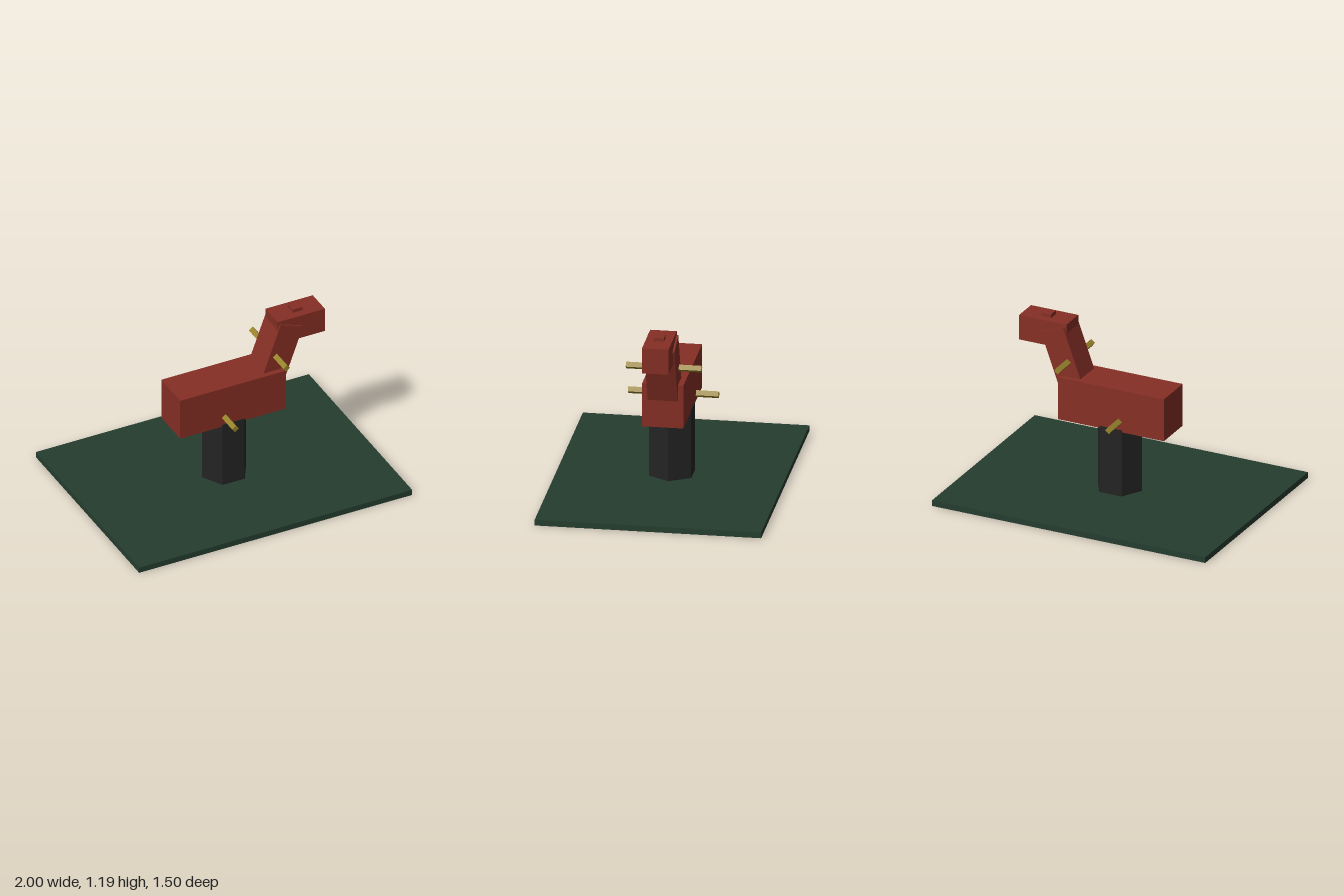
import * as THREE from 'three';

const material = (name, color) => {
  const m = new THREE.MeshStandardMaterial({ color, flatShading: true });
  m.name = name;
  return m;
};

export function createModel() {
  const model = new THREE.Group();
  const red = material('barn red', 0x852f25);
  const green = material('dark green', 0x253d2f);
  const black = material('charcoal', 0x242424);
  const gold = material('brass', 0x97822a);

  const add = (name, geometry, mat, x, y, z = 0) => {
    const mesh = new THREE.Mesh(geometry, mat);
    mesh.name = name;
    mesh.position.set(x, y, z);
    model.add(mesh);
    return mesh;
  };
  const box = (name, size, mat, x, y) => add(name, new THREE.BoxGeometry(...size), mat, x, y);

  // Ground plate and hexagonal post
  box('groundPlate', [2, 0.04, 1.5], green, 0, 0.02);
  const post = new THREE.CylinderGeometry(0.162, 0.162, 0.475, 6).rotateY(Math.PI / 6);
  add('post', post, black, 0, 0.2775);

  // Animal body, leaning neck, head and the small block on top
  box('body', [0.775, 0.3, 0.274], red, -0.0025, 0.65);
  box('neck', [0.175, 0.5, 0.2], red, 0.362, 0.88).rotation.z = -THREE.MathUtils.degToRad(20);
  box('head', [0.346, 0.175, 0.176], red, 0.522, 1.0775);
  box('forelock', [0.07, 0.04, 0.07], red, 0.522, 1.17);

  // Four-sided handles and foot pegs on both sides
  const peg = new THREE.CylinderGeometry(0.025, 0.025, 0.15, 4)
    .rotateX(Math.PI / 2)
    .rotateZ(-THREE.MathUtils.degToRad(7));
  for (const [side, s] of [['Front', 1], ['Back', -1]]) {
    add('handle' + side, peg, gold, 0.333, 0.903, s * 0.175);
    add('footPeg' + side, peg, gold, -0.067, 0.577, s * 0.225);
  }
  return model;
}
